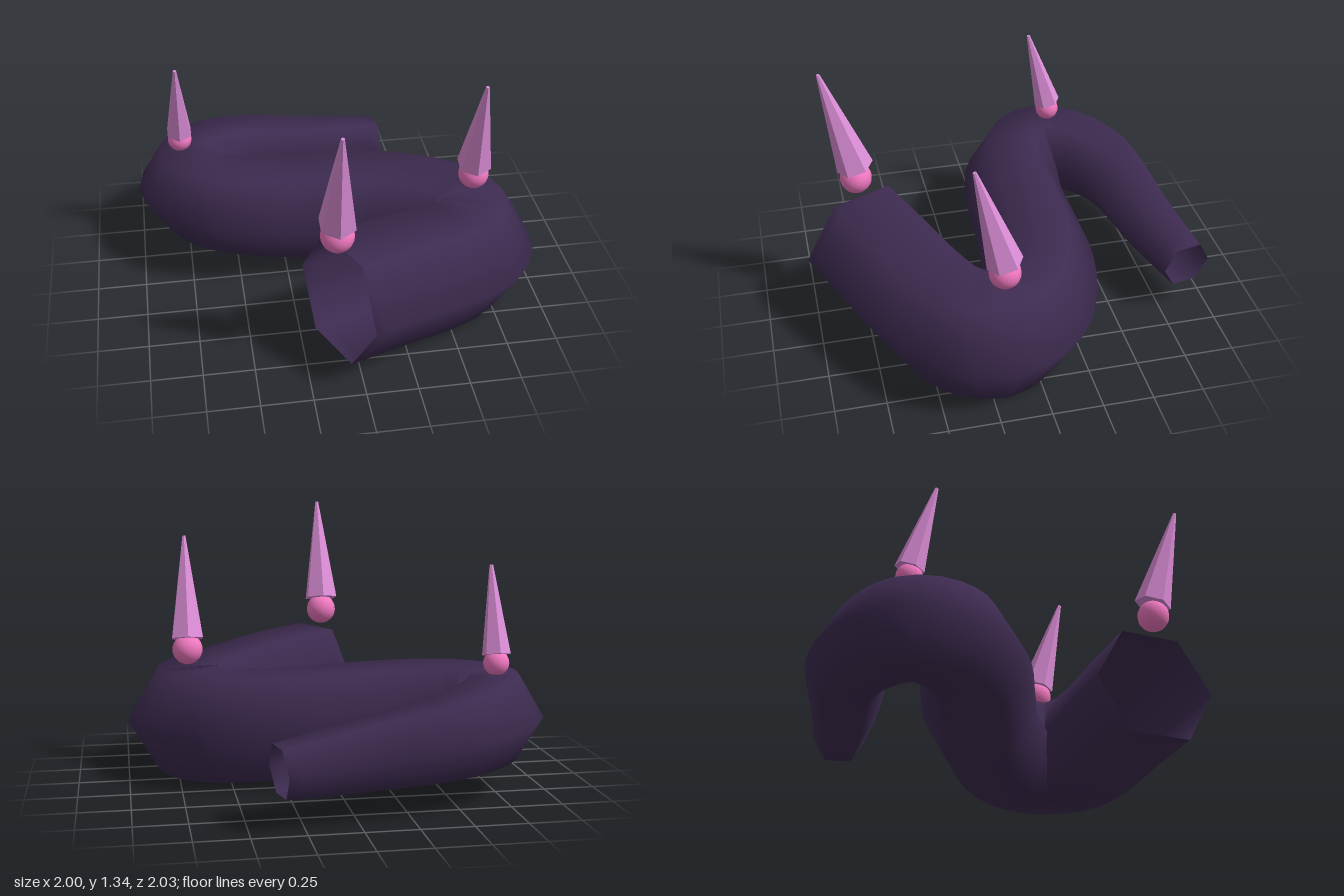
import * as THREE from 'three';

const SIDES = 6;
const STEPS = 64;

// Centre line of the winding body, from the thick end to the thin end
const PATH = new THREE.CatmullRomCurve3([
  [-0.095, 0.37, 0.735], [0.18, 0.34, 0.61], [0.46, 0.29, 0.47], [0.62, 0.27, 0.36],
  [0.69, 0.265, 0.2], [0.61, 0.265, 0.05], [0.46, 0.275, -0.05], [0.2, 0.295, -0.125],
  [-0.1, 0.32, -0.135], [-0.4, 0.345, -0.14], [-0.63, 0.36, -0.2], [-0.74, 0.365, -0.31],
  [-0.76, 0.365, -0.42], [-0.68, 0.36, -0.56], [-0.53, 0.345, -0.68], [-0.38, 0.325, -0.735],
  [0, 0.285, -0.8], [0.36, 0.255, -0.88],
].map((p) => new THREE.Vector3(...p)));

// Six-sided open tube that tapers along the path and keeps a flat top
function bodyGeometry() {
  const positions = [];
  const index = [];
  const up = new THREE.Vector3(0, 1, 0);
  for (let i = 0; i <= STEPS; i++) {
    const t = i / STEPS;
    const centre = PATH.getPointAt(t);
    const tangent = PATH.getTangentAt(t);
    const side = new THREE.Vector3().crossVectors(tangent, up).normalize();
    const normal = new THREE.Vector3().crossVectors(side, tangent);
    const radius = 0.318 * (1 - 0.59 * Math.pow(t, 2.2));
    for (let j = 0; j < SIDES; j++) {
      const a = (j / SIDES) * Math.PI * 2;
      const p = centre.clone()
        .addScaledVector(side, radius * Math.cos(a))
        .addScaledVector(normal, radius * Math.sin(a));
      positions.push(p.x, p.y, p.z);
    }
  }
  for (let i = 0; i < STEPS; i++) {
    for (let j = 0; j < SIDES; j++) {
      const k = (j + 1) % SIDES;
      const a = i * SIDES + j, b = i * SIDES + k;
      const c = a + SIDES, d = b + SIDES;
      index.push(a, b, c, b, d, c);
    }
  }
  const geometry = new THREE.BufferGeometry();
  geometry.setAttribute('position', new THREE.Float32BufferAttribute(positions, 3));
  geometry.setIndex(index);
  geometry.computeVertexNormals();
  return geometry;
}

export function createModel() {
  const model = new THREE.Group();
  model.name = 'spikedWindingTube';

  const bodyMaterial = new THREE.MeshStandardMaterial({ color: 0x3d2b50, side: THREE.DoubleSide });
  const ballMaterial = new THREE.MeshStandardMaterial({ color: 0xf078c0 });
  const spikeMaterial = new THREE.MeshStandardMaterial({ color: 0xdd8ed8, flatShading: true });

  const body = new THREE.Mesh(bodyGeometry(), bodyMaterial);
  body.name = 'windingBody';
  model.add(body);

  // Ball with a forward-leaning six-sided spike on top
  const addSpike = (name, x, y, z, ballRadius, spikeRadius, height, lift) => {
    const group = new THREE.Group();
    group.name = name;
    group.position.set(x, y, z);

    const ball = new THREE.Mesh(new THREE.SphereGeometry(ballRadius, 20, 14), ballMaterial);
    ball.name = 'ball';

    const geometry = new THREE.CylinderGeometry(0.009, spikeRadius, height, 6);
    geometry.translate(0, height / 2, 0);
    const spike = new THREE.Mesh(geometry, spikeMaterial);
    spike.name = 'spike';
    spike.position.y = lift;
    spike.rotation.x = 0.26;

    group.add(ball, spike);
    model.add(group);
  };
  addSpike('frontSpike', -0.1, 0.74, 0.742, 0.08, 0.093, 0.55, 0.064);
  addSpike('leftSpike', 0.69, 0.63, 0.16, 0.077, 0.089, 0.53, 0.056);
  addSpike('rightSpike', -0.765, 0.62, -0.422, 0.063, 0.071, 0.44, 0.041);

  return model;
}
